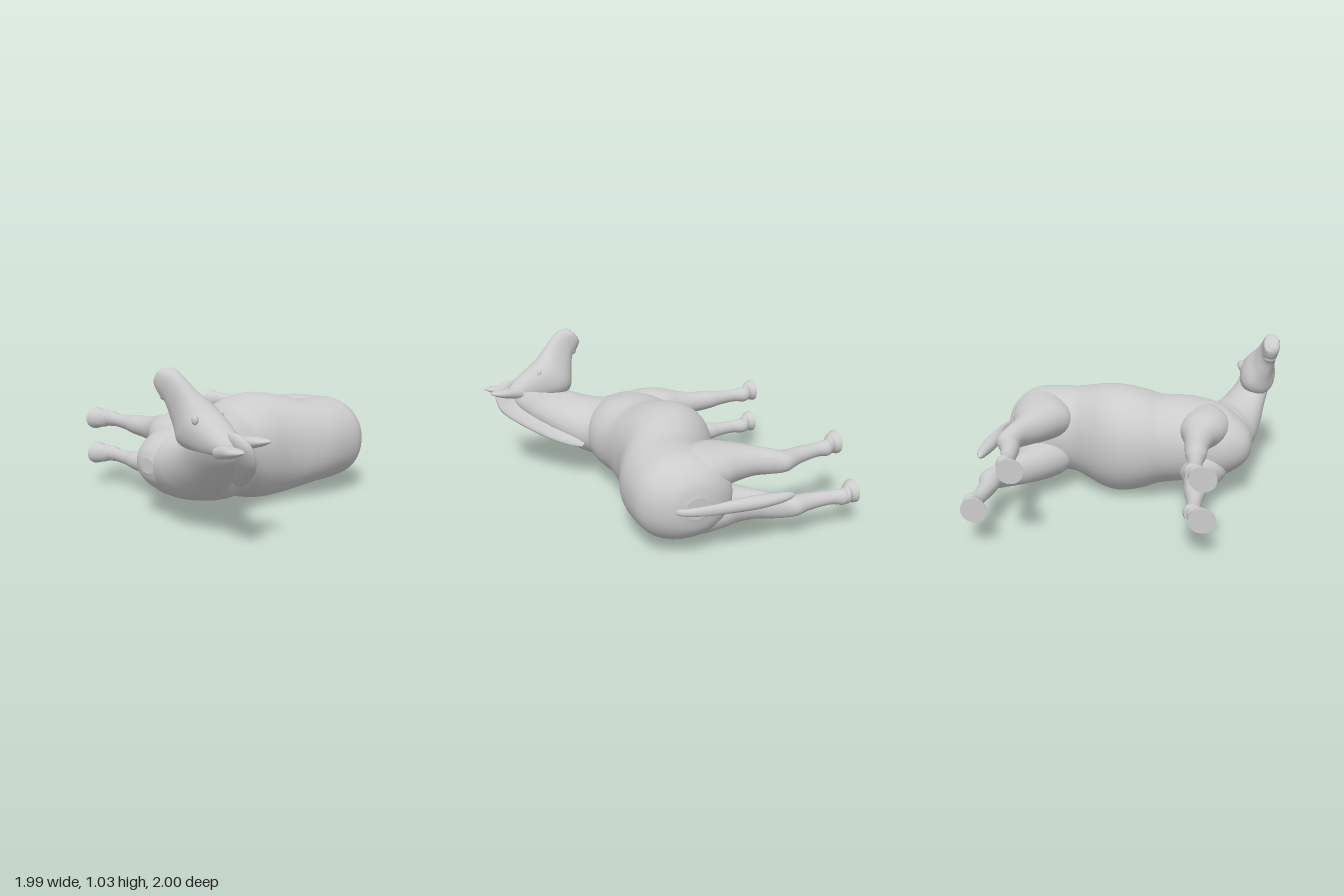
import * as THREE from 'three';

const hide = new THREE.MeshStandardMaterial({ color: 0xcccccc });
hide.name = 'plain grey';
const MID = 0.37; // height of the animal's own mirror plane, as it lies on its side

// Smooth closed loft. Each row: two opposite edge points of a section, then its half width.
function loft(name, rows, { sides = 28, steps = 5, power = 1 } = {}) {
  const a = rows.map(r => new THREE.Vector3(r[0], r[1], r[2]));
  const b = rows.map(r => new THREE.Vector3(r[3], r[4], r[5]));
  const w = rows.map(r => new THREE.Vector3(r[6], 0, 0));
  const [ca, cb, cw] = [a, b, w].map(p => new THREE.CatmullRomCurve3(p, false, 'catmullrom', 0.5));
  const n = (rows.length - 1) * steps;
  const mid = t => ca.getPoint(t).add(cb.getPoint(t)).multiplyScalar(0.5);
  const pos = [], idx = [];
  const bend = s => Math.sign(s) * Math.abs(s) ** power;
  for (let i = 0; i <= n; i++) {
    const t = i / n, c = mid(t);
    const u = ca.getPoint(t).sub(c);
    const dir = mid(Math.min(1, t + 0.02)).sub(mid(Math.max(0, t - 0.02)));
    const v = dir.cross(u).normalize().multiplyScalar(Math.max(0.002, cw.getPoint(t).x));
    for (let j = 0; j < sides; j++) {
      const q = j / sides * Math.PI * 2;
      const p = c.clone().addScaledVector(u, bend(Math.cos(q))).addScaledVector(v, bend(Math.sin(q)));
      pos.push(p.x, p.y, p.z);
      if (i < n) {
        const k = i * sides + j, l = i * sides + (j + 1) % sides;
        idx.push(k, l, l + sides, k, l + sides, k + sides);
      }
    }
  }
  // End caps with their own corners, so that the rims stay sharp
  for (const end of [0, n]) {
    const c = mid(end / n), base = pos.length / 3;
    pos.push(...pos.slice(end * sides * 3, (end + 1) * sides * 3), c.x, c.y, c.z);
    for (let j = 0; j < sides; j++) {
      const k = base + j, l = base + (j + 1) % sides;
      idx.push(base + sides, ...(end ? [k, l] : [l, k]));
    }
  }
  const g = new THREE.BufferGeometry();
  g.setAttribute('position', new THREE.Float32BufferAttribute(pos, 3));
  g.setIndex(idx);
  g.computeVertexNormals();
  const mesh = new THREE.Mesh(g, hide);
  mesh.name = name;
  return mesh;
}

function blob(name, x, y, z, rx, ry, rz) {
  const mesh = new THREE.Mesh(new THREE.SphereGeometry(1, 16, 12), hide);
  mesh.name = name;
  mesh.position.set(x, y, z);
  mesh.scale.set(rx, ry, rz);
  return mesh;
}

// Leg rows: z, front x, rear x, distance from the mirror plane, half width, backward shift
function leg(name, rows, side, shifted) {
  return loft(name, rows.map(([z, x0, x1, off, w, s = 0]) => {
    const d = shifted ? s : 0, y = MID + side * off;
    return [x1 + d, y, z, x0 + d, y, z, w];
  }), { sides: 22 });
}

const FRONT_LEG = [
  [0.12, -0.54, -0.42, 0.11, 0.14], [-0.05, -0.66, -0.34, 0.13, 0.138],
  [-0.2, -0.64, -0.33, 0.14, 0.124], [-0.32, -0.565, -0.36, 0.135, 0.097],
  [-0.45, -0.53, -0.375, 0.13, 0.077], [-0.6, -0.52, -0.385, 0.13, 0.065],
  [-0.68, -0.505, -0.40, 0.13, 0.052], [-0.8, -0.495, -0.41, 0.13, 0.046],
  [-0.88, -0.50, -0.39, 0.13, 0.055], [-0.92, -0.51, -0.40, 0.13, 0.05]];
const HIND_LEG = [
  [0.25, 0.56, 0.74, 0.125, 0.15], [0.08, 0.45, 0.83, 0.14, 0.148],
  [-0.08, 0.41, 0.82, 0.142, 0.14, 0.01], [-0.2, 0.475, 0.785, 0.142, 0.122, 0.02],
  [-0.32, 0.56, 0.775, 0.142, 0.1, 0.05], [-0.43, 0.645, 0.80, 0.138, 0.083, 0.09],
  [-0.52, 0.665, 0.82, 0.13, 0.069, 0.125], [-0.64, 0.645, 0.765, 0.13, 0.056, 0.155],
  [-0.8, 0.632, 0.725, 0.13, 0.047, 0.19], [-0.88, 0.625, 0.73, 0.13, 0.055, 0.215],
  [-0.92, 0.60, 0.71, 0.13, 0.05, 0.22]];

// Hoof flaring forward to a flat sole, placed from its rear x
const hoofRows = x => [
  [-0.895, x - 0.08, x + 0.01, 0.13, 0.045], [-0.92, x - 0.105, x + 0.01, 0.13, 0.06],
  [-0.95, x - 0.135, x - 0.01, 0.13, 0.065], [-0.985, x - 0.16, x - 0.002, 0.13, 0.077],
  [-1, x - 0.165, x, 0.13, 0.078]];

export function createModel() {
  const model = new THREE.Group();
  model.name = 'lyingHorse';

  // Trunk: x, belly z, back z, half width
  model.add(loft('trunk', [
    [-0.81, -0.08, 0.05, 0.05], [-0.785, -0.15, 0.13, 0.105], [-0.72, -0.21, 0.21, 0.17],
    [-0.6, -0.255, 0.33, 0.24], [-0.4, -0.27, 0.392, 0.282], [-0.2, -0.305, 0.36, 0.298],
    [-0.1, -0.33, 0.355, 0.33], [0, -0.34, 0.36, 0.355], [0.1, -0.33, 0.37, 0.365],
    [0.2, -0.285, 0.395, 0.355], [0.3, -0.215, 0.435, 0.328],
    [0.42, -0.14, 0.475, 0.298], [0.55, -0.14, 0.488, 0.294], [0.7, -0.15, 0.48, 0.285],
    [0.8, -0.12, 0.42, 0.235], [0.865, -0.02, 0.33, 0.16], [0.89, 0.08, 0.24, 0.07],
  ].map(([x, lo, hi, w]) => [x, MID, hi, x, MID, lo, w]), { sides: 40, power: 0.93 }));

  // Neck: crest point, throat point, half width; it starts inside the trunk
  model.add(loft('neck', [
    [-0.32, 0.37, 0.30, -0.60, 0.37, -0.02, 0.2],
    [-0.41, 0.36, 0.38, -0.77, 0.38, -0.02, 0.215], [-0.49, 0.35, 0.455, -0.825, 0.42, 0.11, 0.19],
    [-0.6, 0.39, 0.57, -0.855, 0.49, 0.25, 0.15], [-0.71, 0.48, 0.72, -0.88, 0.57, 0.40, 0.115],
    [-0.78, 0.57, 0.81, -0.905, 0.64, 0.52, 0.10], [-0.83, 0.65, 0.82, -0.92, 0.68, 0.60, 0.085]]));

  // Mane ridge along the crest, ending in a forelock
  model.add(loft('mane', [
    [-0.45, 0.29, 0.43, -0.47, 0.32, 0.38, 0.01], [-0.50, 0.295, 0.51, -0.53, 0.36, 0.42, 0.025],
    [-0.60, 0.335, 0.64, -0.64, 0.41, 0.52, 0.03], [-0.71, 0.43, 0.81, -0.75, 0.50, 0.66, 0.03],
    [-0.79, 0.525, 0.925, -0.82, 0.58, 0.76, 0.03], [-0.84, 0.64, 0.945, -0.86, 0.64, 0.80, 0.03],
    [-0.865, 0.71, 0.88, -0.87, 0.67, 0.80, 0.025], [-0.87, 0.72, 0.81, -0.87, 0.70, 0.78, 0.01],
  ], { sides: 16 }));

  // Head, rolled a little: forehead x, jaw x, half width, forehead z and y, jaw z and y
  const head = new THREE.Group();
  head.name = 'head';
  head.add(loft('skull', [
    [-0.86, -0.86, 0.04, 0.86, 0.64, 0.83, 0.60], [-0.86, -0.855, 0.085, 0.83, 0.68, 0.75, 0.575],
    [-0.87, -0.845, 0.115, 0.74, 0.755, 0.57, 0.565], [-0.88, -0.835, 0.124, 0.63, 0.835, 0.40, 0.60],
    [-0.905, -0.88, 0.078, 0.54, 0.92, 0.36, 0.72], [-0.925, -0.915, 0.06, 0.47, 0.99, 0.335, 0.83],
    [-0.932, -0.93, 0.058, 0.41, 1.03, 0.29, 0.885], [-0.935, -0.935, 0.053, 0.34, 1.035, 0.27, 0.93],
    [-0.935, -0.935, 0.02, 0.30, 1.0, 0.275, 0.965],
  ].map(([x0, x1, w, zt, yt, zb, yb]) => [x0, yt, zt, x1, yb, zb, w]), { power: 0.88 }));
  head.add(blob('lowerLip', -0.925, 0.875, 0.335, 0.042, 0.033, 0.04));
  for (const s of [-1, 1]) {
    head.add(blob('eye', -0.87 + s * 0.095, 0.775, 0.625, 0.018, 0.028, 0.022));
    head.add(blob('nostril', -0.935 + s * 0.038, 1.0, 0.335, 0.015, 0.018, 0.024));
    // Leaf-shaped ear
    const x = -0.855 + s * 0.075, lift = s * 0.015;
    head.add(loft(s > 0 ? 'leftEar' : 'rightEar', [
      [0.76, 0, 0.03, 0.035], [0.82, 0.006, 0.037, 0.037], [0.90, 0.016, 0.047, 0.031],
      [0.96, 0.022, 0.037, 0.018], [1.0, 0.028, 0.006, 0.004],
    ].map(([z, out, r, w]) => {
      const cx = x + s * out, y = 0.625 + lift + (z - 0.76) * 0.17;
      return [cx + r, y, z, cx - r, y, z, w];
    }), { sides: 14 }));
  }
  model.add(head);

  // Legs and hooves; the lower hind leg reaches further back
  for (const side of [1, -1]) {
    const tag = side > 0 ? 'upper' : 'lower';
    model.add(leg(tag + 'FrontLeg', FRONT_LEG, side, false));
    model.add(leg(tag + 'FrontHoof', hoofRows(-0.425), side, false));
    model.add(leg(tag + 'HindLeg', HIND_LEG, side, side < 0));
    model.add(leg(tag + 'HindHoof', hoofRows(side > 0 ? 0.70 : 0.93), side, false));
  }

  // Tail: z, inner x, outer x, half width
  model.add(loft('tail', [
    [0.34, 0.78, 0.80, 0.012], [0.29, 0.855, 0.89, 0.02], [0.22, 0.89, 0.93, 0.026],
    [0.08, 0.915, 0.96, 0.035], [-0.1, 0.905, 0.985, 0.043], [-0.25, 0.905, 1.0, 0.042],
    [-0.4, 0.925, 0.99, 0.03], [-0.46, 0.94, 0.97, 0.015], [-0.475, 0.95, 0.96, 0.004],
  ].map(([z, x0, x1, w]) => [x1, MID, z, x0, MID, z, w]), { sides: 18 }));

  return model;
}
